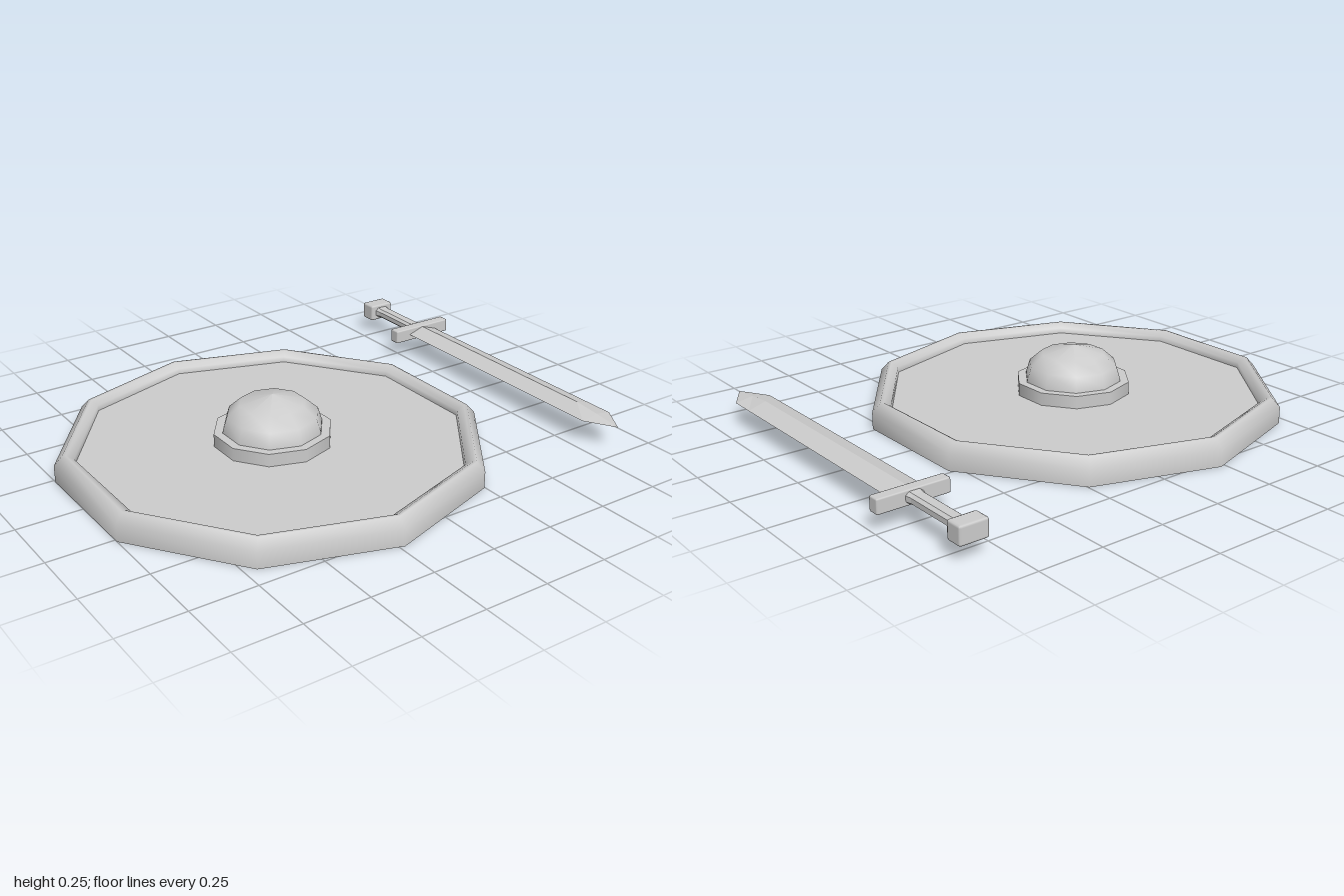
import * as THREE from 'three';
import { RoundedBoxGeometry } from 'three/addons/geometries/RoundedBoxGeometry.js';

const smooth = new THREE.MeshStandardMaterial({ color: 0xcccccc });
const flat = new THREE.MeshStandardMaterial({ color: 0xcccccc, flatShading: true });

function add(group, name, geometry, material, x = 0, y = 0, z = 0) {
  const mesh = new THREE.Mesh(geometry, material);
  mesh.name = name;
  mesh.position.set(x, y, z);
  group.add(mesh);
  return mesh;
}

// Ten-sided turned part from [radius, y] pairs
const turned = (points) =>
  new THREE.LatheGeometry(points.map(([r, y]) => new THREE.Vector2(r, y)), 10);

// Skin over rings along z; each section is [z, halfWidth, halfHeight]
function loft(sections, outline) {
  const pos = [];
  const n = outline.length;
  const at = ([z, w, h], k) => [outline[k % n][0] * w, outline[k % n][1] * h, z];
  for (let i = 0; i < sections.length - 1; i++) {
    for (let k = 0; k < n; k++) {
      const a = at(sections[i], k), b = at(sections[i], k + 1);
      const c = at(sections[i + 1], k + 1), d = at(sections[i + 1], k);
      pos.push(...a, ...b, ...c);
      if (sections[i + 1][1] > 0) pos.push(...a, ...c, ...d);
    }
  }
  const g = new THREE.BufferGeometry();
  g.setAttribute('position', new THREE.Float32BufferAttribute(pos, 3));
  g.computeVertexNormals();
  return g;
}

function createShield() {
  const shield = new THREE.Group();
  shield.name = 'shield';
  const floor = 0.06;
  // Rounded rim, sunken face and flat back
  add(shield, 'shieldRim', turned([
    [0.81, 0], [0.81, 0.065], [0.778, 0.1], [0.765, 0.1], [0.737, 0.082], [0.735, floor],
  ]), smooth);
  add(shield, 'shieldFace', turned([[0.735, floor], [0, floor]]), smooth);
  add(shield, 'shieldBack', turned([[0, 0], [0.81, 0]]), smooth);
  // Collar around the boss
  add(shield, 'bossCollarWall', turned([[0.225, floor], [0.225, 0.11]]), smooth);
  add(shield, 'bossCollarTop', turned([[0.225, 0.11], [0.18, 0.11]]), smooth);
  // Domed boss
  add(shield, 'boss', turned([
    [0.192, 0.1], [0.19, 0.12], [0.175, 0.168], [0.125, 0.212], [0, 0.245],
  ]), smooth);
  shield.position.set(-0.23, 0, 0.013);
  return shield;
}

function createSword() {
  const sword = new THREE.Group();
  sword.name = 'sword';
  // Diamond-section blade drawn to a point
  const diamond = [[1, 0], [0, 1], [-1, 0], [0, -1]];
  add(sword, 'blade', loft([
    [-0.47, 0.07, 0.023], [0.5, 0.07, 0.023], [0.605, 0.07, 0.013], [0.72, 0, 0],
  ], diamond), flat);
  // Grip with chamfered corners, flaring at both ends
  const octagon = [[1, -0.5], [1, 0.5], [0.6, 1], [-0.6, 1], [-1, 0.5], [-1, -0.5], [-0.6, -1], [0.6, -1]];
  add(sword, 'grip', loft([
    [-0.77, 0.036, 0.023], [-0.74, 0.029, 0.019], [-0.53, 0.029, 0.019], [-0.49, 0.036, 0.023],
  ], octagon), flat);
  // Crossguard and pommel
  add(sword, 'crossguard', new RoundedBoxGeometry(0.28, 0.056, 0.046, 1, 0.006), smooth, 0, 0, -0.483);
  add(sword, 'pommel', new RoundedBoxGeometry(0.112, 0.07, 0.07, 1, 0.009), smooth, 0, 0, -0.795);
  sword.position.set(0.856, 0.093, 0);
  return sword;
}

export function createModel() {
  const model = new THREE.Group();
  model.name = 'swordAndShield';
  model.add(createShield(), createSword());
  return model;
}
